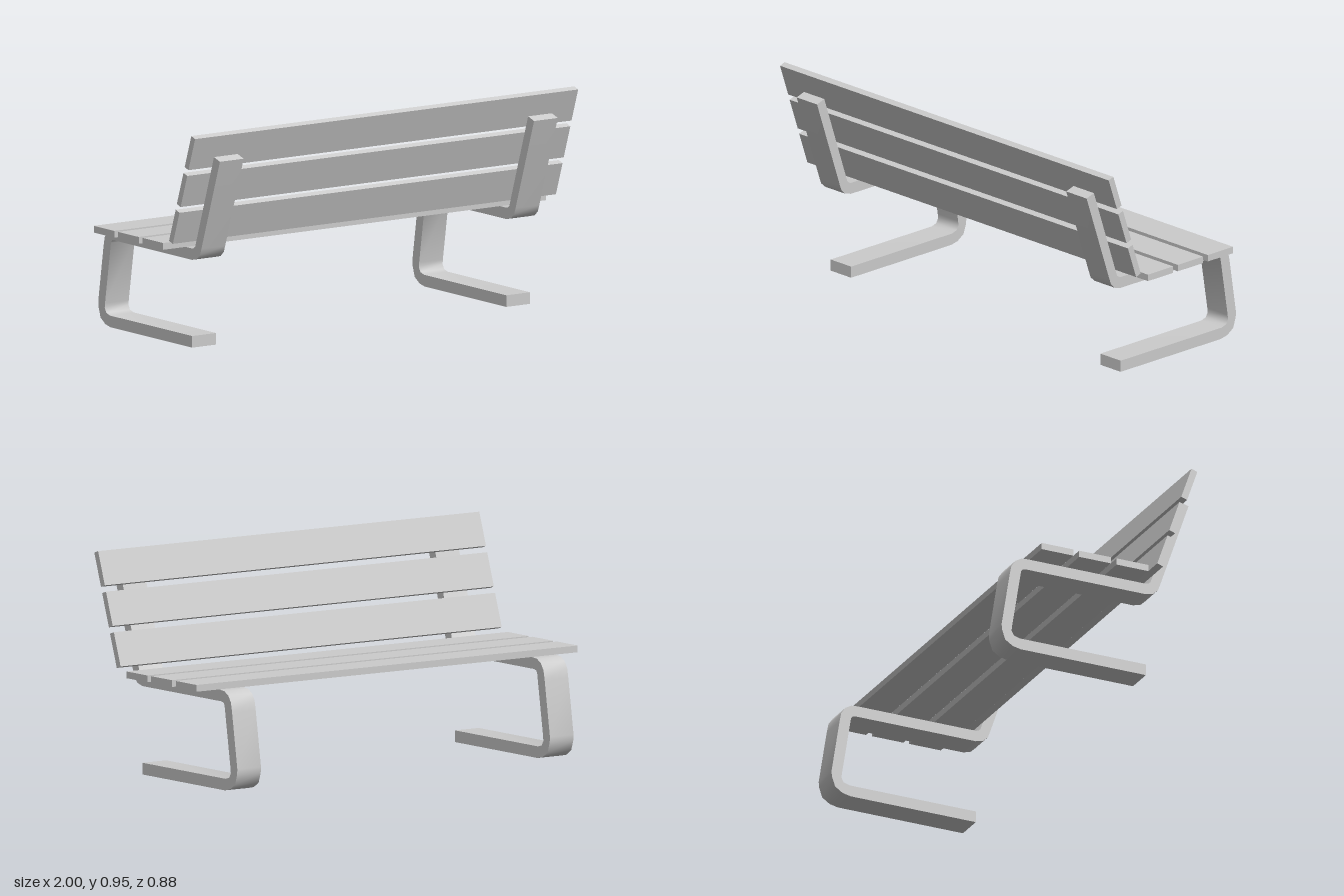
import * as THREE from 'three';
import { toCreasedNormals } from 'three/addons/utils/BufferGeometryUtils.js';

const material = new THREE.MeshStandardMaterial({ color: 0xcccccc });

// Side outline of one bent support, as [z, y]
const SUPPORT = [
  // base underside, outer bend, outer leg
  [0.24, 0], [-0.35, 0], [-0.388, 0.008], [-0.423, 0.031], [-0.438, 0.075], [-0.44, 0.1],
  // upper bend, top of the seat rail
  [-0.402, 0.34], [-0.394, 0.38], [-0.375, 0.408], [-0.347, 0.424], [-0.315, 0.427],
  // inside bend and inner face of the back
  [0.24, 0.427], [0.252, 0.43], [0.262, 0.439], [0.398, 0.844],
  // outer face of the back and its bend
  [0.441, 0.83], [0.307, 0.435], [0.297, 0.408], [0.275, 0.387], [0.24, 0.378],
  // underside of the seat rail, inner leg
  [-0.325, 0.378], [-0.341, 0.374], [-0.348, 0.365], [-0.391, 0.098],
  // inner bottom bend, top of the base
  [-0.393, 0.078], [-0.382, 0.058], [-0.355, 0.05], [0.24, 0.05],
];

function supportGeometry(width) {
  const shape = new THREE.Shape(SUPPORT.map(([z, y]) => new THREE.Vector2(-z, y)));
  const geo = new THREE.ExtrudeGeometry(shape, { depth: width, bevelEnabled: false });
  geo.translate(0, 0, -width / 2);
  geo.rotateY(Math.PI / 2); // outline into the zy plane
  return toCreasedNormals(geo, 0.8);
}

export function createModel() {
  const bench = new THREE.Group();
  bench.name = 'bench';

  const add = (name, geo, x, y, z, tilt = 0) => {
    const mesh = new THREE.Mesh(geo, material);
    mesh.name = name;
    mesh.position.set(x, y, z);
    mesh.rotation.x = tilt;
    bench.add(mesh);
  };

  // Two bent supports
  const support = supportGeometry(0.124);
  add('leftSupport', support, 0.82, 0, 0);
  add('rightSupport', support, -0.82, 0, 0);

  // Three seat slats and three leaning back slats
  const seatSlat = new THREE.BoxGeometry(2, 0.029, 0.149);
  const backSlat = new THREE.BoxGeometry(2, 0.149, 0.029);
  for (let i = 0; i < 3; i++) {
    add(`seatSlat${i + 1}`, seatSlat, 0, 0.4415, 0.119 - i * 0.1765);
    add(`backSlat${i + 1}`, backSlat, 0, 0.538 + i * 0.167, 0.274 + i * 0.0565, 0.33);
  }
  return bench;
}
